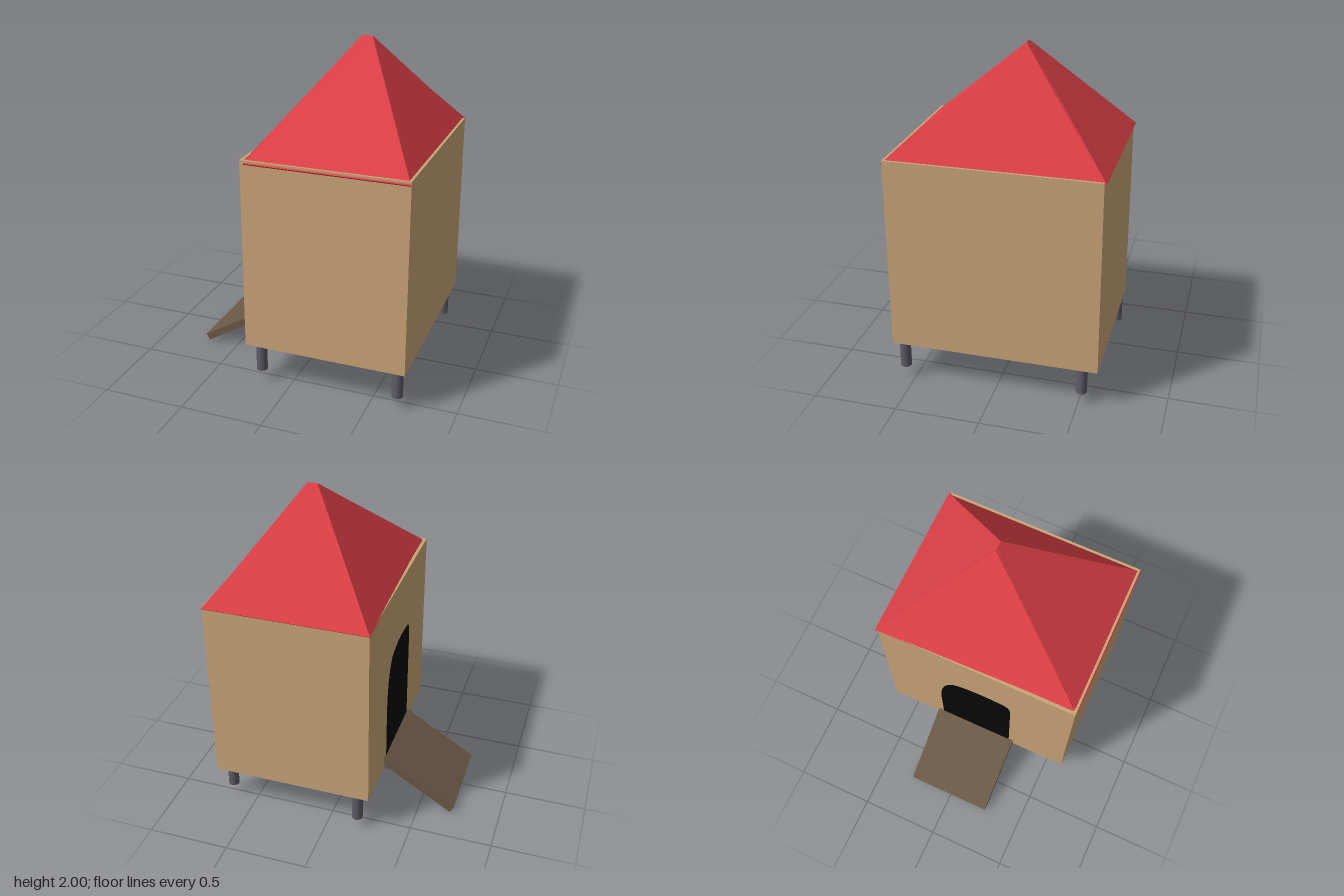
import * as THREE from 'three';
import { ConvexGeometry } from 'three/addons/geometries/ConvexGeometry.js';

export function createModel() {
  const group = new THREE.Group();
  const mat = (name, color) => Object.assign(new THREE.MeshStandardMaterial({ color }), { name });
  const wood = mat('tan wood', 0xcaa578);
  const red = mat('red roof', 0xdc3f46);
  const brown = mat('dark brown wood', 0x6a5845);
  const grey = mat('grey metal', 0x5e5b66);
  const black = mat('black opening', 0x080808);
  black.side = THREE.DoubleSide;

  const add = (name, geometry, material, x = 0, y = 0, z = 0) => {
    const mesh = new THREE.Mesh(geometry, material);
    mesh.name = name;
    mesh.position.set(x, y, z);
    group.add(mesh);
    return mesh;
  };

  // Walls: an open-topped frame of four boards
  const x0 = -0.265, x1 = 0.715, zh = 0.615, y0 = 0.25, y1 = 1.41, t = 0.02;
  const cx = (x0 + x1) / 2, cy = (y0 + y1) / 2, w = x1 - x0, h = y1 - y0;
  for (const s of [-1, 1]) {
    add(s > 0 ? 'frontWall' : 'backWall', new THREE.BoxGeometry(w, h, t), wood, cx, cy, s * (zh - t / 2));
    add(s > 0 ? 'leftWall' : 'rightWall', new THREE.BoxGeometry(t, h, 2 * (zh - t)), wood,
      cx + s * (w - t) / 2, cy, 0);
  }

  // Floor set between the walls
  add('floor', new THREE.BoxGeometry(w - 2 * t, 0.03, 2 * (zh - t)), brown, cx, y0 + 0.017, 0);

  // Arched doorway on the ramp side (shape x runs along z)
  const arch = new THREE.Shape();
  arch.moveTo(-0.25, 0.3);
  arch.lineTo(0.23, 0.3);
  arch.lineTo(0.23, 0.92);
  arch.quadraticCurveTo(0.23, 1.01, 0.18, 1.02);
  arch.quadraticCurveTo(-0.03, 1.05, -0.15, 0.99);
  arch.quadraticCurveTo(-0.25, 0.9, -0.25, 0.62);
  const door = add('doorway', new THREE.ShapeGeometry(arch, 8), black, x0 - 0.003, 0, 0);
  door.rotation.y = -Math.PI / 2;

  // Ramp
  const ramp = add('ramp', new THREE.BoxGeometry(0.55, 0.045, 0.545), brown, -0.474, 0.164, -0.013);
  ramp.rotation.z = Math.atan2(0.524, 0.852);

  // Legs
  for (const [x, z] of [[-0.185, 0.56], [0.66, 0.56], [-0.185, -0.577], [0.66, -0.515]]) {
    add('leg', new THREE.CylinderGeometry(0.033, 0.033, 0.18, 24), grey, x, 0.165, z);
  }

  // Roof: four thin slabs leaning together, slightly uneven
  const slab = (name, coords) => {
    const pts = coords.map((c) => new THREE.Vector3(...c));
    const normal = new THREE.Plane().setFromCoplanarPoints(pts[0], pts[1], pts[2]).normal;
    const inner = pts.map((p) => p.clone().addScaledVector(normal, -0.01));
    add(name, new ConvexGeometry([...pts, ...inner]), red);
  };
  slab('frontRoof', [[-0.24, 1.392, 0.622], [0.714, 1.392, 0.622], [0.265, 2, -0.085], [0.202, 2, -0.085]]);
  slab('backRoof', [[0.714, 1.405, -0.628], [-0.272, 1.405, -0.628], [0.235, 2, -0.083]]);
  slab('rightRoof', [[-0.272, 1.405, -0.628], [-0.242, 1.405, 0.605], [0.205, 2, -0.085], [0.235, 2, -0.083]]);
  slab('leftRoof', [[0.703, 1.405, 0.607], [0.703, 1.405, -0.615], [0.235, 2, -0.083], [0.265, 2, -0.085]]);

  return group;
}
